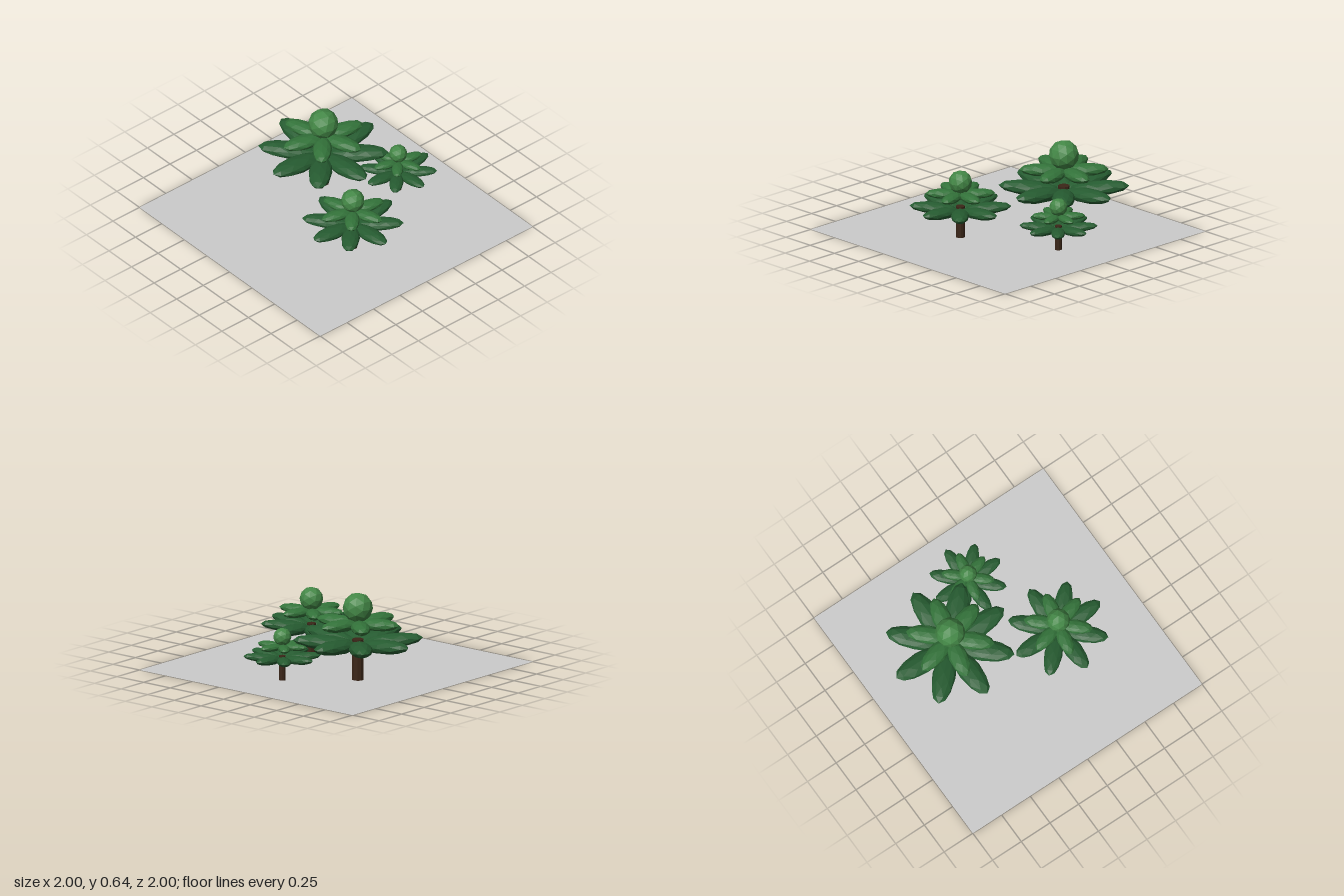
import * as THREE from 'three';

const material = (color, extra = {}) => new THREE.MeshStandardMaterial({ color, flatShading: true, ...extra });

function part(name, geometry, mat) {
  const mesh = new THREE.Mesh(geometry, mat);
  mesh.name = name;
  return mesh;
}

// Ring of faceted, stretched leaves radiating from the trunk
function leafRing(name, { count, y, reach, size, tilt, turn }, mat) {
  const ring = new THREE.Group();
  ring.name = name;
  const leaf = new THREE.IcosahedronGeometry(1, 1);
  leaf.scale(...size);
  leaf.rotateZ(tilt);
  leaf.translate(reach - size[0], 0, 0);
  for (let i = 0; i < count; i++) {
    const mesh = part('leaf', leaf, mat);
    mesh.rotation.y = turn + (i / count) * Math.PI * 2;
    ring.add(mesh);
  }
  ring.position.y = y;
  return ring;
}

export function createModel() {
  const model = new THREE.Group();
  model.name = 'treeGrove';

  const bark = material(0x3b2618);
  const darkGreen = material(0x265c31);
  const midGreen = material(0x33733a);
  const lightGreen = material(0x438746);

  // Ground sheet
  const ground = part('ground', new THREE.PlaneGeometry(2, 2), material(0xcccccc, { side: THREE.DoubleSide }));
  ground.rotation.x = -Math.PI / 2;
  model.add(ground);

  // One tree at three sizes: x, z, scale
  const trees = [[-0.37, -0.195, 1], [0.345, 0.135, 0.78], [0.035, -0.555, 0.6]];
  for (const [x, z, scale] of trees) {
    const tree = new THREE.Group();
    tree.name = 'tree';

    const trunk = part('trunk', new THREE.CylinderGeometry(0.042, 0.042, 0.3, 10), bark);
    trunk.position.y = 0.15;

    const lower = leafRing('lowerLeaves',
      { count: 8, y: 0.282, reach: 0.47, size: [0.225, 0.052, 0.085], tilt: 0.09, turn: 0 }, darkGreen);
    const upper = leafRing('upperLeaves',
      { count: 6, y: 0.42, reach: 0.32, size: [0.16, 0.045, 0.07], tilt: 0.03, turn: 0.3 }, midGreen);

    const crown = part('crown', new THREE.IcosahedronGeometry(0.11, 1), lightGreen);
    crown.position.y = 0.532;

    tree.add(trunk, lower, upper, crown);
    tree.position.set(x, 0, z);
    tree.scale.setScalar(scale);
    model.add(tree);
  }
  return model;
}
